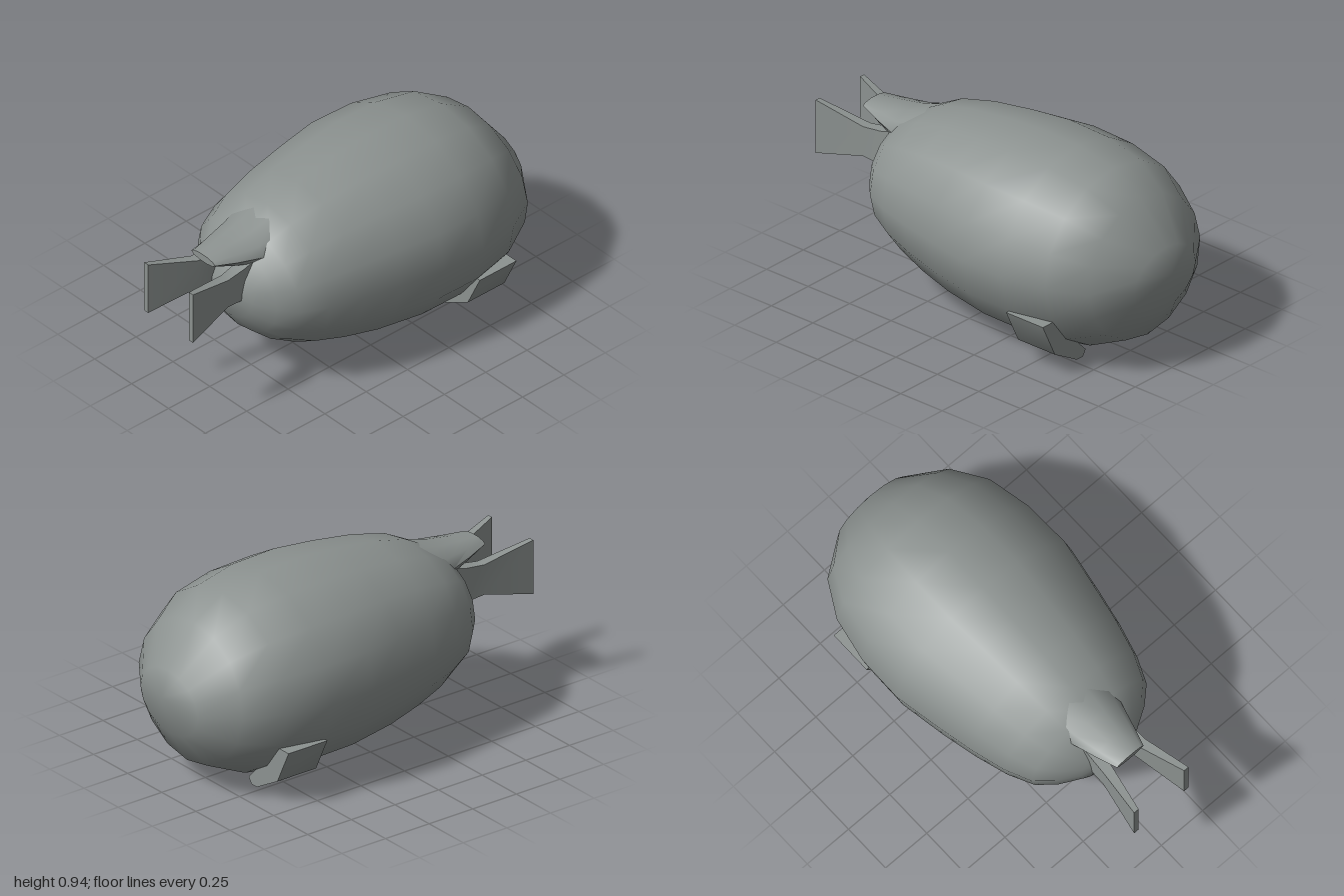
import * as THREE from 'three';
import { toCreasedNormals } from 'three/addons/utils/BufferGeometryUtils.js';

const grey = new THREE.MeshStandardMaterial({ name: 'grey', color: 0x8c9290 });

// Skin rings of [x, y, z] points running from +x to -x, closed by a fan at each end.
function loft(rings, front, back, crease) {
  const n = rings[0].length, last = (rings.length - 1) * n;
  const points = [...rings.flat(), front, back];
  const f = points.length - 2, b = points.length - 1, index = [];
  for (let j = 0; j < n; j++) {
    const k = (j + 1) % n;
    index.push(f, k, j, b, last + j, last + k);
    for (let i = 0; i < last; i += n) {
      index.push(i + j, i + k, i + n + j, i + k, i + n + k, i + n + j);
    }
  }
  const geometry = new THREE.BufferGeometry();
  geometry.setAttribute('position', new THREE.Float32BufferAttribute(points.flat(), 3));
  geometry.setIndex(index);
  if (crease) return toCreasedNormals(geometry, crease);
  geometry.computeVertexNormals();
  return geometry;
}

// Elliptical ring that may lean: top point, bottom point and half width.
function ellipse([xt, yt, xb, yb, w], sides) {
  return Array.from({ length: sides }, (_, j) => {
    const a = j / sides * Math.PI * 2, s = Math.sin(a);
    return [(xt + xb) / 2 + (xt - xb) / 2 * s, (yt + yb) / 2 + (yt - yb) / 2 * s, w * Math.cos(a)];
  });
}

const centre = ring => [0, 1, 2].map(k => ring.reduce((sum, p) => sum + p[k], 0) / ring.length);
// Mirroring a ring reverses its order so the faces keep pointing outwards.
const side = (ring, s) => s > 0 ? ring : ring.map(([x, y, z]) => [x, y, -z]).reverse();

export function createModel() {
  const model = new THREE.Group();
  const add = (name, geometry) => {
    const mesh = new THREE.Mesh(geometry, grey);
    mesh.name = name;
    model.add(mesh);
  };
  const addSolid = (name, rings, crease) =>
    add(name, loft(rings, centre(rings[0]), centre(rings[rings.length - 1]), crease));

  // Egg-shaped body
  const body = [
    [0.965, 0.605, 0.95, 0.283, 0.21],
    [0.815, 0.80, 0.855, 0.123, 0.38],
    [0.65, 0.90, 0.67, 0.04, 0.48],
    [0.435, 0.94, 0.44, 0.003, 0.525],
    [0.20, 0.946, 0.20, 0.01, 0.53],
    [0.00, 0.93, -0.05, 0.035, 0.49],
    [-0.22, 0.90, -0.22, 0.075, 0.45],
    [-0.40, 0.855, -0.37, 0.125, 0.405],
    [-0.52, 0.79, -0.50, 0.20, 0.35],
    [-0.59, 0.73, -0.58, 0.27, 0.27],
    [-0.645, 0.65, -0.65, 0.37, 0.17],
    [-0.68, 0.57, -0.68, 0.47, 0.08],
  ].map(r => ellipse(r, 16));
  add('body', loft(body, [1, 0.475, 0], [-0.685, 0.52, 0]));

  // Flattened lip over the tail
  const lip = [
    [-0.40, 0.84, -0.40, 0.66, 0.18],
    [-0.56, 0.795, -0.56, 0.64, 0.15],
    [-0.68, 0.778, -0.68, 0.68, 0.115],
    [-0.79, 0.765, -0.79, 0.725, 0.08],
  ].map(r => ellipse(r, 10));
  addSolid('tailLip', lip, 1.1);

  // Fin sections: x, top, bottom, outer z, inner z
  const fin = [
    [-0.58, 0.70, 0.49, 0.12, 0.05],
    [-0.65, 0.68, 0.51, 0.12, 0.06],
    [-0.75, 0.67, 0.52, 0.125, 0.075],
    [-1.00, 0.735, 0.465, 0.165, 0.138],
  ].map(([x, t, b, o, i]) => [[x, t, o], [x, t, i], [x, b, i], [x, b, o]]);

  // Foot outline as z, y
  const outline = [[0.225, 0.03], [0.265, 0.03], [0.415, 0.115], [0.497, 0.285], [0.42, 0.285], [0.205, 0.06]];
  const foot = [0.662, 0.44].map(x => outline.map(([z, y]) => [x, y, z]));

  for (const s of [1, -1]) {
    const label = s > 0 ? 'front' : 'back';
    addSolid(label + 'TailFin', fin.map(r => side(r, s)), 0.7);
    addSolid(label + 'Foot', foot.map(r => side(r, s)), 0.7);
  }
  return model;
}
